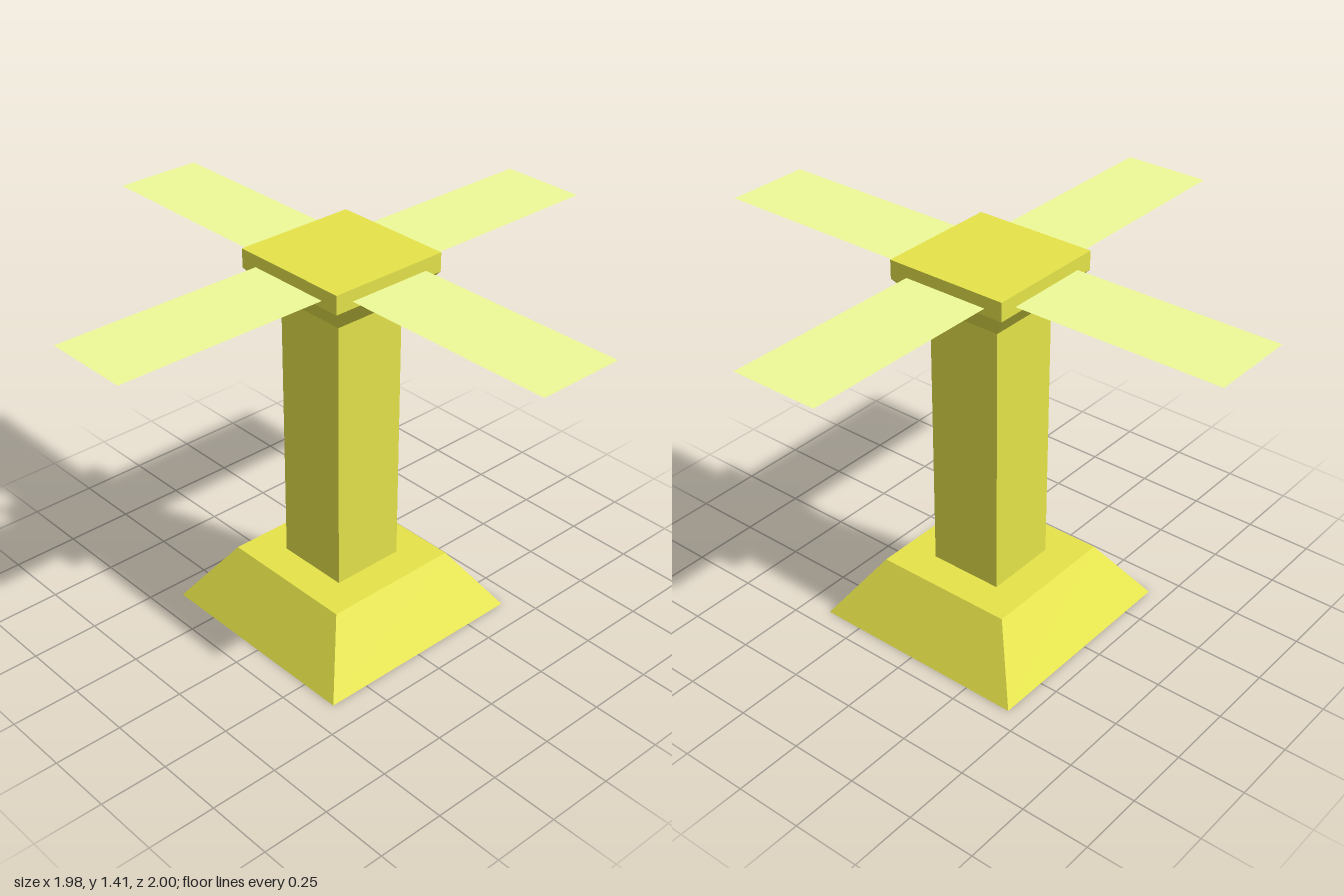
import * as THREE from 'three';

const yellow = new THREE.MeshStandardMaterial({ color: 0xe6e44a, flatShading: true });
const paleGreen = new THREE.MeshStandardMaterial({ color: 0xeefa96, flatShading: true, side: THREE.DoubleSide });

// Square section tapering from one width to another between two heights
function squareSection(name, bottomWidth, topWidth, y0, y1) {
  const geometry = new THREE.CylinderGeometry(topWidth / Math.SQRT2, bottomWidth / Math.SQRT2, y1 - y0, 4);
  geometry.rotateY(Math.PI / 4);
  const mesh = new THREE.Mesh(geometry, yellow);
  mesh.name = name;
  mesh.position.y = (y0 + y1) / 2;
  return mesh;
}

// Flat horizontal blade whose outer end lies at the given position
function blade(name, dirX, dirZ, tip) {
  const root = 0.2;
  const length = tip - root;
  const geometry = new THREE.PlaneGeometry(dirX ? length : 0.32, dirZ ? length : 0.32);
  geometry.rotateX(-Math.PI / 2);
  const mesh = new THREE.Mesh(geometry, paleGreen);
  const middle = (root + tip) / 2;
  mesh.name = name;
  mesh.position.set(dirX * middle, 1.37, dirZ * middle);
  return mesh;
}

export function createModel() {
  const group = new THREE.Group();
  const cx = 0.0135, cz = -0.0185; // tower axis sits slightly off the centre

  // Tower
  const tower = new THREE.Group();
  tower.name = 'tower';
  tower.add(
    squareSection('base', 0.83, 0.53, 0, 0.223),
    squareSection('post', 0.28, 0.28, 0.223, 1.235),
    squareSection('flaredCollar', 0.28, 0.455, 1.235, 1.345),
    squareSection('topPlate', 0.455, 0.455, 1.345, 1.413),
  );

  // Four blades around the top plate
  const blades = new THREE.Group();
  blades.name = 'blades';
  blades.add(
    blade('leftBlade', 1, 0, 0.988 - cx),
    blade('rightBlade', -1, 0, 0.988 + cx),
    blade('frontBlade', 0, 1, 1 - cz),
    blade('backBlade', 0, -1, 1 + cz),
  );

  for (const part of [tower, blades]) {
    part.position.set(cx, 0, cz);
    group.add(part);
  }
  return group;
}
